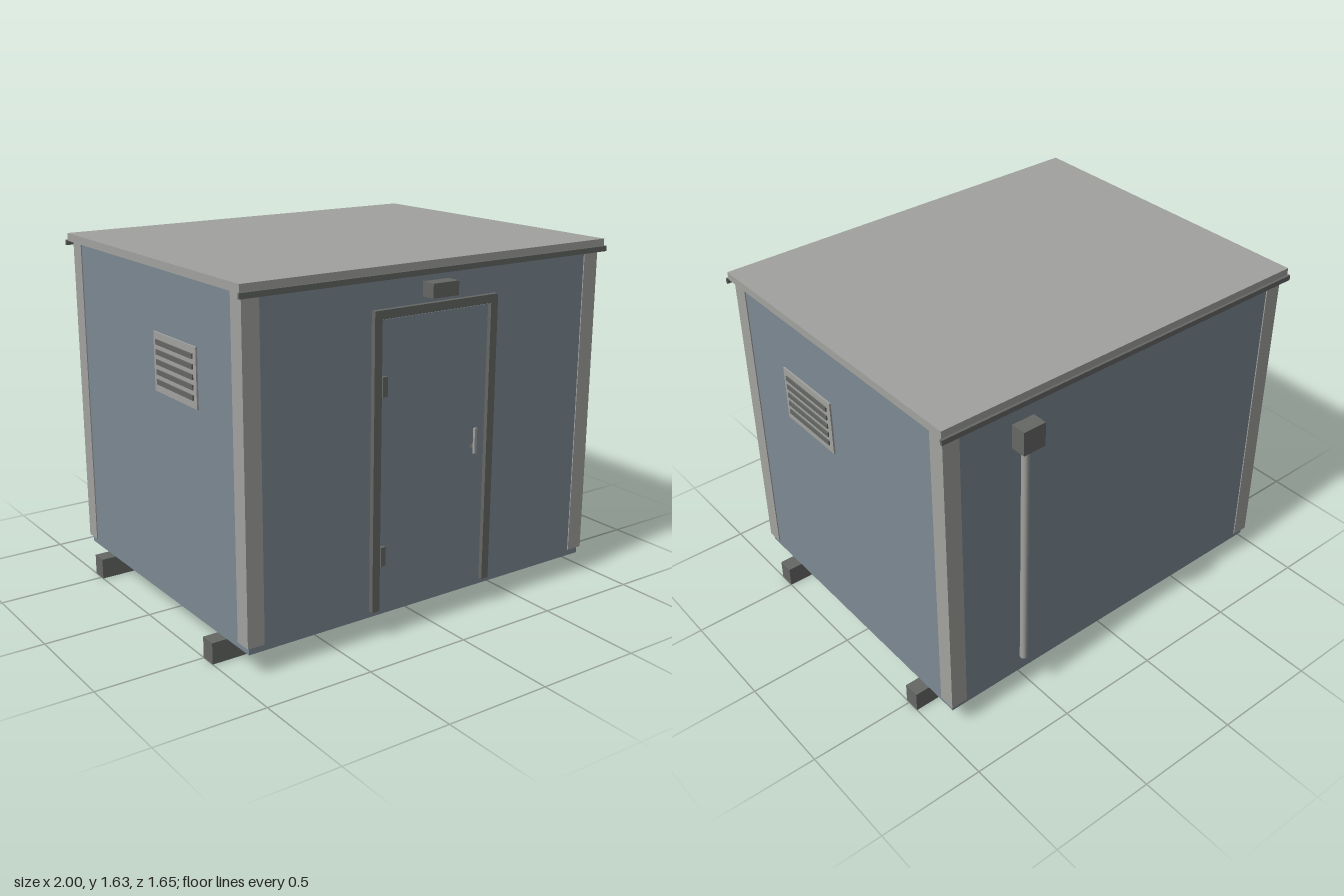
import * as THREE from 'three';

const mat = (name, color) => {
  const m = new THREE.MeshStandardMaterial({ color });
  m.name = name;
  return m;
};

export function createModel() {
  const panel = mat('blue grey panel', 0x7c8993);
  const light = mat('light grey metal', 0xa2a39f);
  const dark = mat('dark grey metal', 0x666865);

  const model = new THREE.Group();
  model.name = 'cabin';

  // Box given by its limits on each axis
  const box = (name, material, [x0, x1], [y0, y1], [z0, z1], parent = model) => {
    const mesh = new THREE.Mesh(new THREE.BoxGeometry(x1 - x0, y1 - y0, z1 - z0), material);
    mesh.position.set((x0 + x1) / 2, (y0 + y1) / 2, (z0 + z1) / 2);
    mesh.name = name;
    parent.add(mesh);
    return mesh;
  };
  const group = (name) => {
    const g = new THREE.Group();
    g.name = name;
    model.add(g);
    return g;
  };

  // Skids, floor and walls
  for (const z of [0.536, -0.521]) box('skid', dark, [-1, 1], [0, 0.097], [z - 0.038, z + 0.038]);
  box('floor', panel, [-0.93, 0.93], [0.097, 0.13], [-0.731, 0.751]);
  box('walls', panel, [-0.936, 0.936], [0.13, 1.594], [-0.74, 0.757]);

  // Corner posts, slightly proud of the walls
  for (const s of [-1, 1]) {
    const x = s < 0 ? [-0.941, -0.861] : [0.861, 0.941];
    box('cornerPost', light, x, [0.13, 1.592], [0.682, 0.762]);
    box('cornerPost', light, x, [0.13, 1.592], [-0.745, -0.665]);
  }

  // Roof slab with a drip strip at front and back
  box('roof', light, [-0.96, 0.96], [1.593, 1.629], [-0.766, 0.782]);
  box('frontDripStrip', dark, [-0.966, 0.966], [1.573, 1.597], [0.782, 0.793]);
  box('backDripStrip', dark, [-0.966, 0.966], [1.573, 1.597], [-0.778, -0.766]);

  // Door with frame, hinges and handle
  const door = group('door');
  box('doorLeaf', panel, [-0.283, 0.283], [0.136, 1.407], [0.75, 0.769], door);
  box('doorGap', dark, [-0.292, 0.292], [0.13, 1.412], [0.75, 0.759], door);
  box('frameJamb', dark, [-0.329, -0.291], [0.13, 1.449], [0.75, 0.78], door);
  box('frameJamb', dark, [0.291, 0.329], [0.13, 1.449], [0.75, 0.78], door);
  box('frameHead', dark, [-0.291, 0.291], [1.411, 1.449], [0.75, 0.78], door);
  for (const y of [0.381, 1.129]) box('hinge', dark, [-0.291, -0.266], [y - 0.043, y + 0.043], [0.765, 0.787], door);
  box('handle', light, [0.203, 0.216], [0.754, 0.87], [0.79, 0.802], door);
  box('handleStem', dark, [0.205, 0.214], [0.777, 0.787], [0.765, 0.791], door);

  // Lamp above the door
  box('lamp', dark, [-0.068, 0.068], [1.478, 1.54], [0.757, 0.826]);

  // Louvred vent on each side wall
  for (const s of [-1, 1]) {
    const vent = group(s > 0 ? 'leftVent' : 'rightVent');
    const span = (a, b) => (s > 0 ? [a, b] : [-b, -a]);
    box('ventPlate', light, span(0.93, 0.944), [1.052, 1.313], [0.042, 0.405], vent);
    for (let i = 0; i < 5; i++) {
      const y = 1.097 + i * 0.0435;
      box('ventSlat', dark, span(0.94, 0.95), [y - 0.011, y + 0.011], [0.068, 0.381], vent);
    }
  }

  // Rainwater box and downpipe on the back
  box('rainBox', dark, [0.505, 0.615], [1.384, 1.496], [-0.826, -0.755]);
  const pipe = new THREE.Mesh(new THREE.CylinderGeometry(0.0175, 0.0175, 1.165, 16), light);
  pipe.name = 'downpipe';
  pipe.position.set(0.56, 0.8025, -0.771);
  model.add(pipe);

  return model;
}
